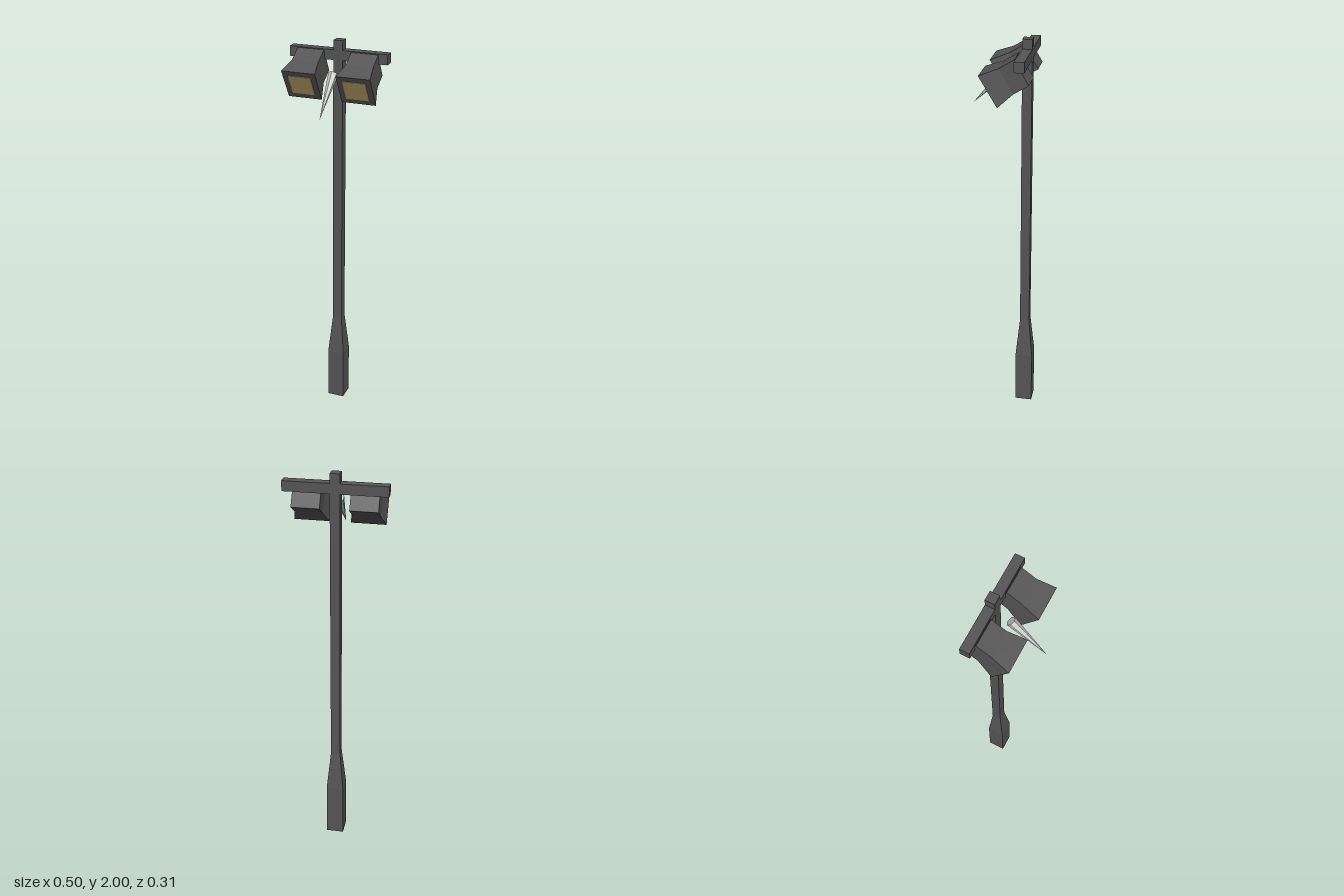
import * as THREE from 'three';

const dark = new THREE.MeshStandardMaterial({ color: 0x555555, flatShading: true });
const gold = new THREE.MeshStandardMaterial({ color: 0xbba468, flatShading: true });
const grey = new THREE.MeshStandardMaterial({ color: 0xcccccc, flatShading: true });

function part(name, geometry, material, x = 0, y = 0, z = 0) {
  const mesh = new THREE.Mesh(geometry, material);
  mesh.name = name;
  mesh.position.set(x, y, z);
  return mesh;
}

// Closed square column through [height, halfWidth] sections, from low to high
function squareLoft(sections) {
  const points = sections.map(([y, half]) => new THREE.Vector2(half * Math.SQRT2, y));
  points.unshift(new THREE.Vector2(0, sections[0][0]));
  points.push(new THREE.Vector2(0, sections[sections.length - 1][0]));
  return new THREE.LatheGeometry(points, 4).rotateY(Math.PI / 4);
}

export function createModel() {
  const model = new THREE.Group();
  model.name = 'floodlightPole';
  const poleZ = -0.112;

  // Pole with a thicker foot, and the bar across its top
  model.add(part('pole', squareLoft([[0, 0.044], [0.28, 0.044], [0.49, 0.024], [2, 0.024]]), dark, 0, 0, poleZ));
  model.add(part('crossbar', new THREE.BoxGeometry(0.502, 0.05, 0.048), dark, 0, 1.928, poleZ));

  // Two lamps tilted down, each with a flared front and a lit panel
  for (const side of [-1, 1]) {
    const lamp = new THREE.Group();
    lamp.name = side > 0 ? 'leftLamp' : 'rightLamp';
    lamp.add(part('housing', squareLoft([[-0.18, 0.068], [-0.095, 0.068], [0, 0.086]]), dark));
    lamp.add(part('lightPanel', new THREE.BoxGeometry(0.115, 0.004, 0.115), gold));
    lamp.position.set(side * 0.138, 1.799, 0.038);
    lamp.rotation.x = THREE.MathUtils.degToRad(121);
    model.add(lamp);
  }

  // Six-sided spike pointing forward and down between the lamps
  const length = 0.252;
  const spike = part('spike', new THREE.ConeGeometry(0.0245, length, 6).translate(0, length / 2, 0), grey, 0, 1.853, -0.025);
  spike.rotation.x = THREE.MathUtils.degToRad(135);
  model.add(spike);

  return model;
}
